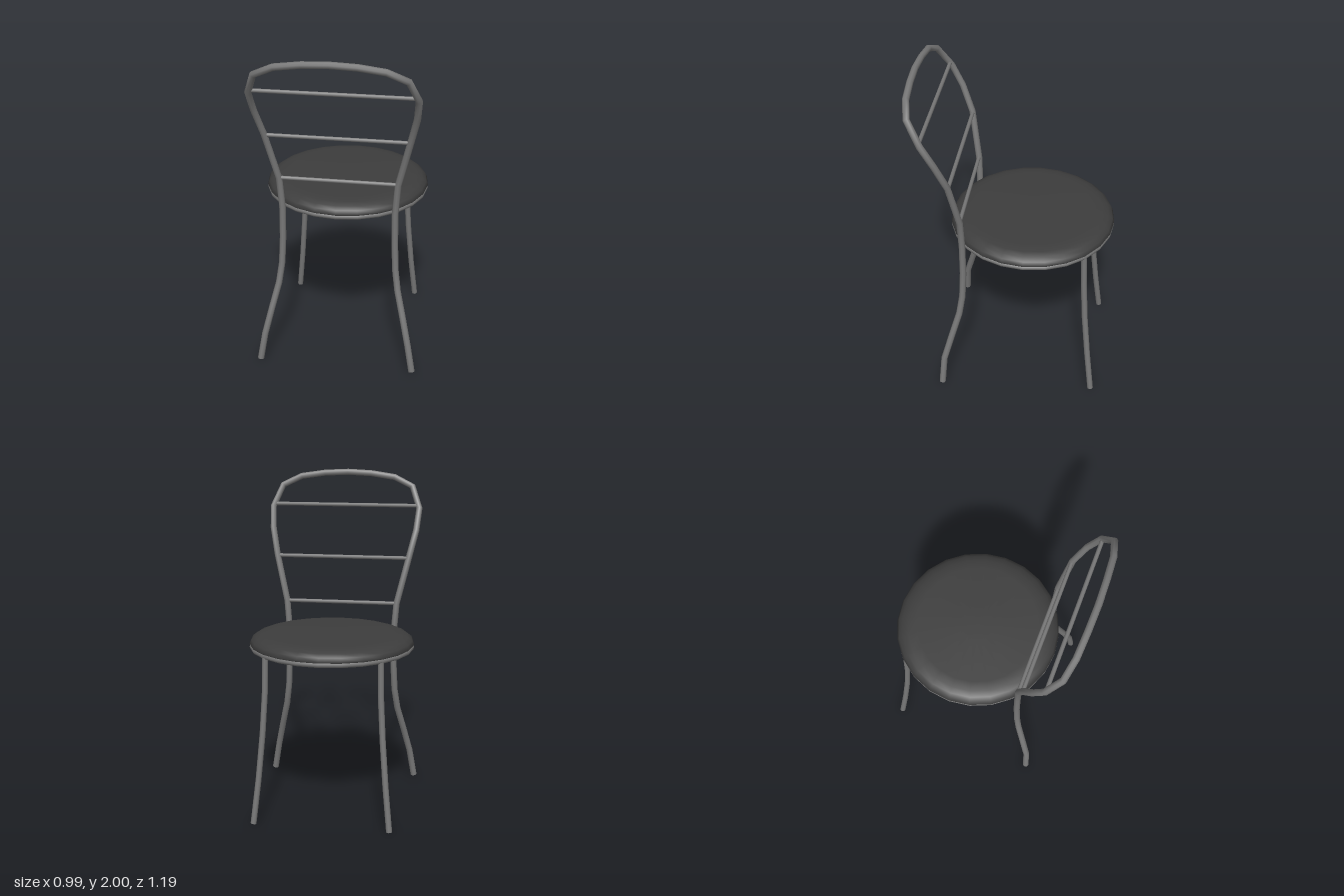
import * as THREE from 'three';
import { mergeGeometries } from 'three/addons/utils/BufferGeometryUtils.js';

const metal = new THREE.MeshStandardMaterial({ color: 0x787878 });
metal.name = 'grey metal';
const cushion = new THREE.MeshStandardMaterial({ color: 0x3d3d3d });
cushion.name = 'dark cushion';

// Straight segments between points, one tube ring at each point
class Polyline extends THREE.Curve {
  constructor(points) {
    super();
    this.points = points.map((p) => new THREE.Vector3(...p));
  }
  getPoint(t, target = new THREE.Vector3()) {
    const last = this.points.length - 1;
    const i = Math.min(Math.floor(t * last), last - 1);
    return target.lerpVectors(this.points[i], this.points[i + 1], t * last - i);
  }
  getPointAt(u, target) { return this.getPoint(u, target); }
  getTangentAt(u, target) { return this.getTangent(u, target); }
}

// Bent metal tube with closed ends
function rod(name, points, radius) {
  const path = new Polyline(points);
  const parts = [new THREE.TubeGeometry(path, points.length - 1, radius, 8, false)];
  for (const [u, sign] of [[0, -1], [1, 1]]) {
    const cap = new THREE.CircleGeometry(radius, 8);
    const dir = path.getTangentAt(u).multiplyScalar(sign);
    cap.applyQuaternion(new THREE.Quaternion().setFromUnitVectors(new THREE.Vector3(0, 0, 1), dir));
    const p = path.getPointAt(u);
    parts.push(cap.translate(p.x, p.y, p.z));
  }
  const mesh = new THREE.Mesh(mergeGeometries(parts), metal);
  mesh.name = name;
  return mesh;
}

export function createModel() {
  const chair = new THREE.Group();
  chair.name = 'chair';

  // Legs and backrest hoop are one continuous tube
  const half = [
    [0.47, 0.004, 0.413], [0.44, 0.18, 0.4], [0.4, 0.35, 0.352], [0.363, 0.5, 0.308],
    [0.345, 0.63, 0.288], [0.337, 0.8, 0.28], [0.335, 1.0, 0.28], [0.35, 1.19, 0.286],
    [0.42, 1.48, 0.333], [0.457, 1.64, 0.395], [0.469, 1.77, 0.462], [0.418, 1.9, 0.537],
    [0.302, 1.955, 0.563], [0.15, 1.977, 0.572],
  ];
  const mirrored = half.map(([x, y, z]) => [-x, y, z]).reverse();
  chair.add(rod('backFrame', [...half, [0, 1.984, 0.576], ...mirrored], 0.02));

  // Crossbars of the backrest
  for (const [x, y, z] of [[0.35, 1.19, 0.286], [0.416, 1.472, 0.33], [0.466, 1.785, 0.468]]) {
    chair.add(rod('backBar', [[-x, y, z], [x, y, z]], 0.012));
  }

  // Pair of legs on the other side
  for (const s of [-1, 1]) {
    chair.add(rod(s > 0 ? 'leftLeg' : 'rightLeg', [
      [0.335, 1.0, -0.44], [0.338, 0.8, -0.447], [0.352, 0.55, -0.463],
      [0.375, 0.27, -0.491], [0.403, 0.003, -0.523],
    ].map(([x, y, z]) => [s * x, y, z]), 0.018));
  }

  // Seat ring
  const ring = new THREE.Mesh(new THREE.TorusGeometry(0.477, 0.018, 8, 24), metal);
  ring.name = 'seatRing';
  ring.rotation.x = Math.PI / 2;
  ring.position.set(0, 1.007, -0.1);
  chair.add(ring);

  // Padded seat with a flat underside
  const profile = [
    [0.485, 1.01], [0.495, 1.025], [0.484, 1.048], [0.46, 1.066],
    [0.425, 1.078], [0.37, 1.084], [0.1, 1.09], [0, 1.09],
  ].map(([r, y]) => new THREE.Vector2(r, y));
  const seat = new THREE.Mesh(new THREE.LatheGeometry(profile, 24), cushion);
  seat.name = 'seat';
  seat.position.z = -0.1;
  const underside = new THREE.Mesh(new THREE.CircleGeometry(0.485, 24), cushion);
  underside.name = 'seatUnderside';
  underside.rotation.x = Math.PI / 2;
  underside.position.set(0, 1.01, -0.1);
  chair.add(seat, underside);

  return chair;
}
